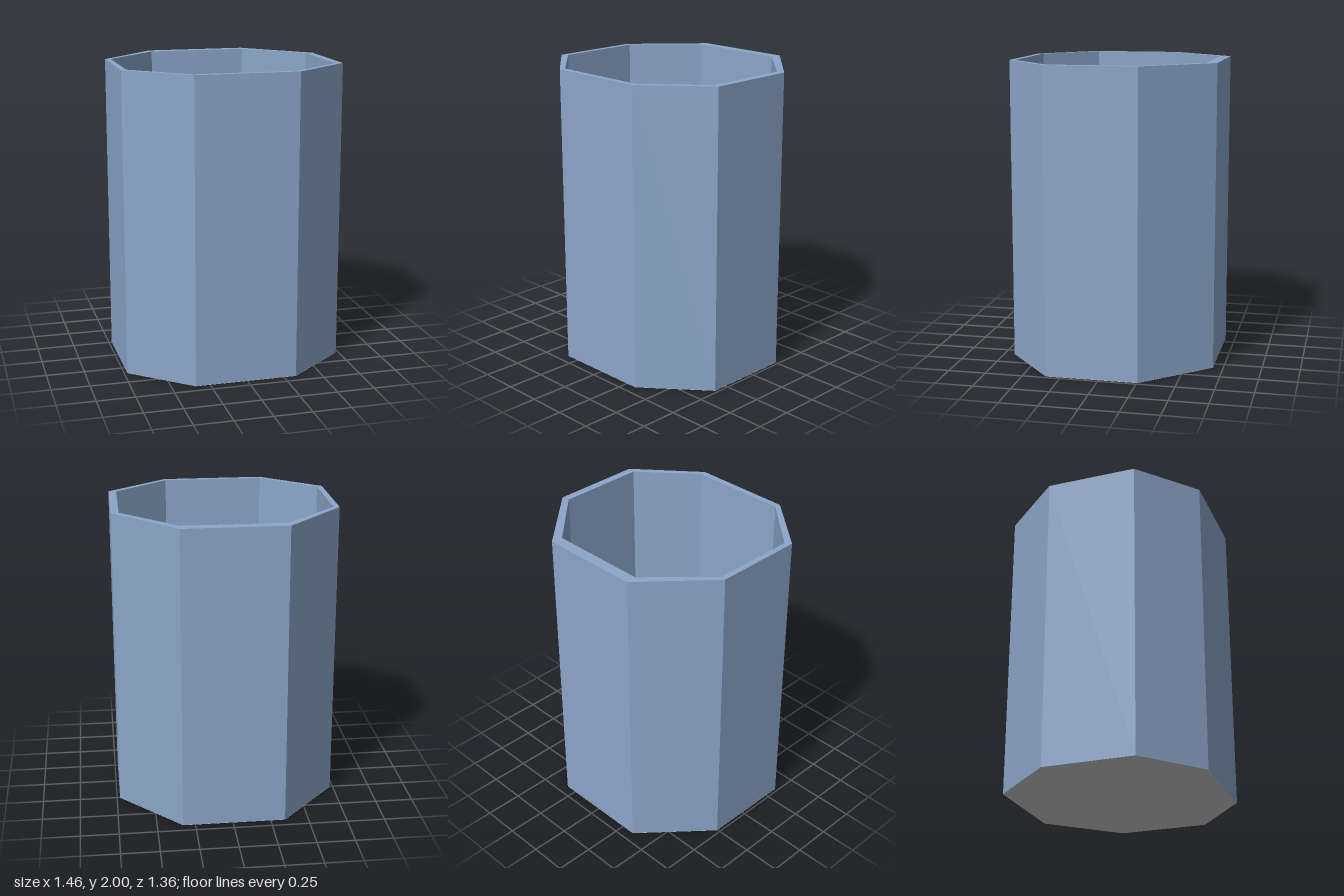
import * as THREE from 'three';

// Slightly irregular octagons in plan, as [x, z] corners, counter-clockwise from above
const OUTER = [[-0.73, -0.255], [-0.73, 0.347], [-0.345, 0.68], [0.33, 0.68],
  [0.73, 0.347], [0.73, -0.255], [0.33, -0.683], [-0.345, -0.683]];
const INNER = [[-0.692, -0.247], [-0.692, 0.32], [-0.34, 0.64], [0.325, 0.64],
  [0.678, 0.337], [0.678, -0.247], [0.32, -0.61], [-0.34, -0.61]];

const HEIGHT = 2;
const GAP = 0.001; // keeps the wall's underside clear of the base

// Plan corners to shape points; the shape is later laid flat with rotateX
const toPoints = (corners) => corners.map(([x, z]) => new THREE.Vector2(x, -z));

export function createModel() {
  const model = new THREE.Group();
  model.name = 'octagonalContainer';

  // Hollow eight-sided wall with an open top; the hole runs the opposite way round
  const ring = new THREE.Shape(toPoints(OUTER));
  ring.holes.push(new THREE.Path(toPoints(INNER).reverse()));
  const wallGeometry = new THREE.ExtrudeGeometry(ring, { depth: HEIGHT - GAP, bevelEnabled: false });
  wallGeometry.rotateX(-Math.PI / 2).translate(0, GAP, 0);
  const wall = new THREE.Mesh(wallGeometry,
    new THREE.MeshStandardMaterial({ color: 0x8ba6c9, flatShading: true }));
  wall.name = 'wall';

  // Thin grey base closing the bottom
  const baseGeometry = new THREE.ShapeGeometry(new THREE.Shape(toPoints(OUTER)));
  baseGeometry.rotateX(-Math.PI / 2);
  const base = new THREE.Mesh(baseGeometry,
    new THREE.MeshStandardMaterial({ color: 0xcccccc, flatShading: true, side: THREE.DoubleSide }));
  base.name = 'base';

  model.add(wall, base);
  return model;
}
